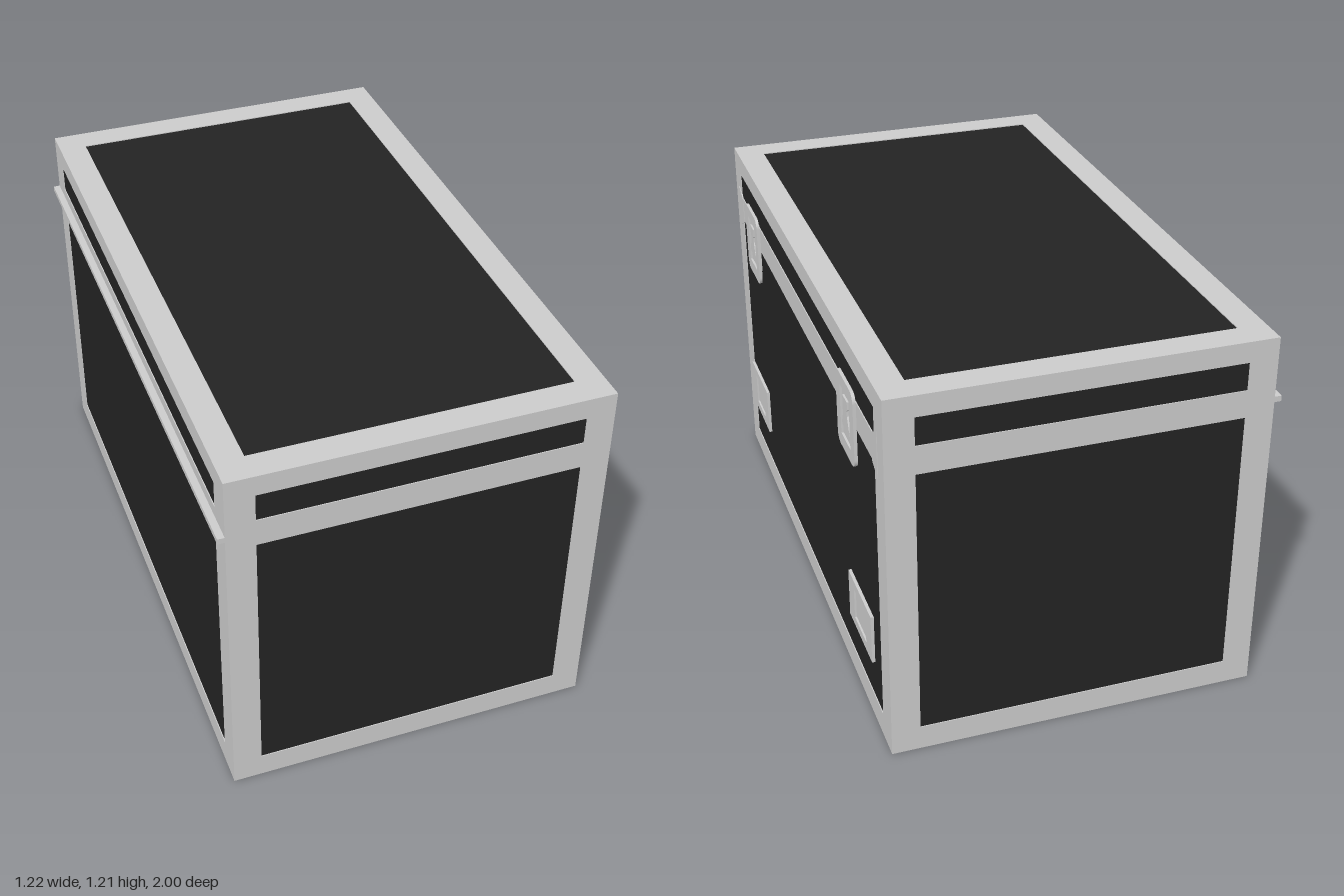
import * as THREE from 'three';

const grey = new THREE.MeshStandardMaterial({ color: 0xcccccc });
const dark = new THREE.MeshStandardMaterial({ color: 0x232323 });

const W = 0.588, H = 1.212, D = 1.0; // half width, height, half depth
const SKIN = 0.003;                  // thickness of the metal trim

// Rectangle with optional rounded corners
function rect(x0, y0, x1, y1, r = 0) {
  const s = new THREE.Shape();
  if (!r) return s.setFromPoints([[x0, y0], [x1, y0], [x1, y1], [x0, y1]].map(p => new THREE.Vector2(...p)));
  s.absarc(x1 - r, y0 + r, r, -Math.PI / 2, 0);
  s.absarc(x1 - r, y1 - r, r, 0, Math.PI / 2);
  s.absarc(x0 + r, y1 - r, r, Math.PI / 2, Math.PI);
  s.absarc(x0 + r, y0 + r, r, Math.PI, Math.PI * 1.5);
  s.closePath();
  return s;
}

const poly = pts => new THREE.Shape(pts.map(p => new THREE.Vector2(...p)));

// Flat plate extruded toward +z, with holes
function plate(name, outline, holes, depth) {
  outline.holes = holes;
  const geo = new THREE.ExtrudeGeometry(outline, { depth, bevelEnabled: false, curveSegments: 6 });
  const m = new THREE.Mesh(geo, grey);
  m.name = name;
  return m;
}

function box(name, w, h, d, x, y, z, mat = grey) {
  const m = new THREE.Mesh(new THREE.BoxGeometry(w, h, d), mat);
  m.name = name;
  m.position.set(x, y, z);
  return m;
}

// Metal trim of one wall: two openings divided by the lid band
function wallTrim(name, half, open, angle, dist) {
  const m = plate(name, rect(-half, 0, half, H),
    [rect(-open, 0.08, open, 0.965), rect(-open, 1.055, open, 1.145)], SKIN);
  m.rotation.y = angle;
  m.position.set(Math.sin(angle) * (dist - SKIN), 0, Math.cos(angle) * (dist - SKIN));
  return m;
}

// Latch: rounded dish with a recessed, flask-shaped turn key
function latch(z) {
  const g = new THREE.Group();
  g.name = 'latch';
  g.add(plate('latchDish', rect(-0.097, -0.123, 0.097, 0.123, 0.03),
    [rect(-0.052, -0.08, 0.052, 0.084)], 0.01));
  g.add(box('latchFloor', 0.112, 0.172, 0.012, 0, 0.002, -0.003));
  const key = plate('latchKey', poly([
    [-0.04, -0.043], [0.04, -0.043], [0.04, -0.03], [0.02, 0.012], [0.02, 0.03], [0.026, 0.036],
    [0.026, 0.062], [-0.026, 0.062], [-0.026, 0.036], [-0.02, 0.03], [-0.02, 0.012], [-0.04, -0.03],
  ]), [], 0.006);
  key.position.z = 0.003;
  g.add(key);
  g.rotation.y = Math.PI / 2;
  g.position.set(0.597, 0.978, z);
  return g;
}

// Handle: square plate with a raised frame around a recessed grip
function handle(z) {
  const g = new THREE.Group();
  g.name = 'handle';
  g.add(plate('handlePlate', rect(-0.13, -0.083, 0.13, 0.083),
    [rect(-0.067, -0.053, 0.067, 0.053)], 0.01));
  g.add(box('handleFloor', 0.144, 0.116, 0.009, 0, 0, -0.0005));
  g.rotation.y = Math.PI / 2;
  g.position.set(0.593, 0.322, z);
  return g;
}

export function createModel() {
  const root = new THREE.Group();
  root.name = 'flightCase';

  // Dark panels: one solid body just behind the trim
  root.add(box('panelBody', 2 * (W - SKIN), H - SKIN, 2 * (D - SKIN), 0, (H - SKIN) / 2, 0, dark));

  // Trim on the four walls and the lid
  root.add(wallTrim('frontTrim', W, 0.498, 0, D));
  root.add(wallTrim('backTrim', W, 0.498, Math.PI, D));
  root.add(wallTrim('leftTrim', D, 0.908, Math.PI / 2, W));
  root.add(wallTrim('rightTrim', D, 0.908, -Math.PI / 2, W));
  const lid = plate('lidTrim', rect(-W, -D, W, D), [rect(-0.498, -0.908, 0.498, 0.908)], SKIN);
  lid.rotation.x = -Math.PI / 2;
  lid.position.y = H - SKIN;
  root.add(lid);

  // Hinge strip along the far side
  root.add(box('hinge', 0.024, 0.018, 2 * D, -W - 0.01, 1.01, 0));

  // Latches, handles and tapered band ends on the latch side
  for (const s of [1, -1]) {
    root.add(latch(s * 0.654));
    root.add(handle(s * 0.724));
    const end = plate('bandEnd', poly(s > 0
      ? [[-0.94, -0.075], [-0.885, -0.045], [-0.885, 0.045], [-0.94, 0.075]]
      : [[0.94, -0.075], [0.94, 0.075], [0.885, 0.045], [0.885, -0.045]]), [], 0.004);
    end.rotation.y = Math.PI / 2;
    end.position.set(W - 0.002, 1.01, 0);
    root.add(end);
  }
  return root;
}
